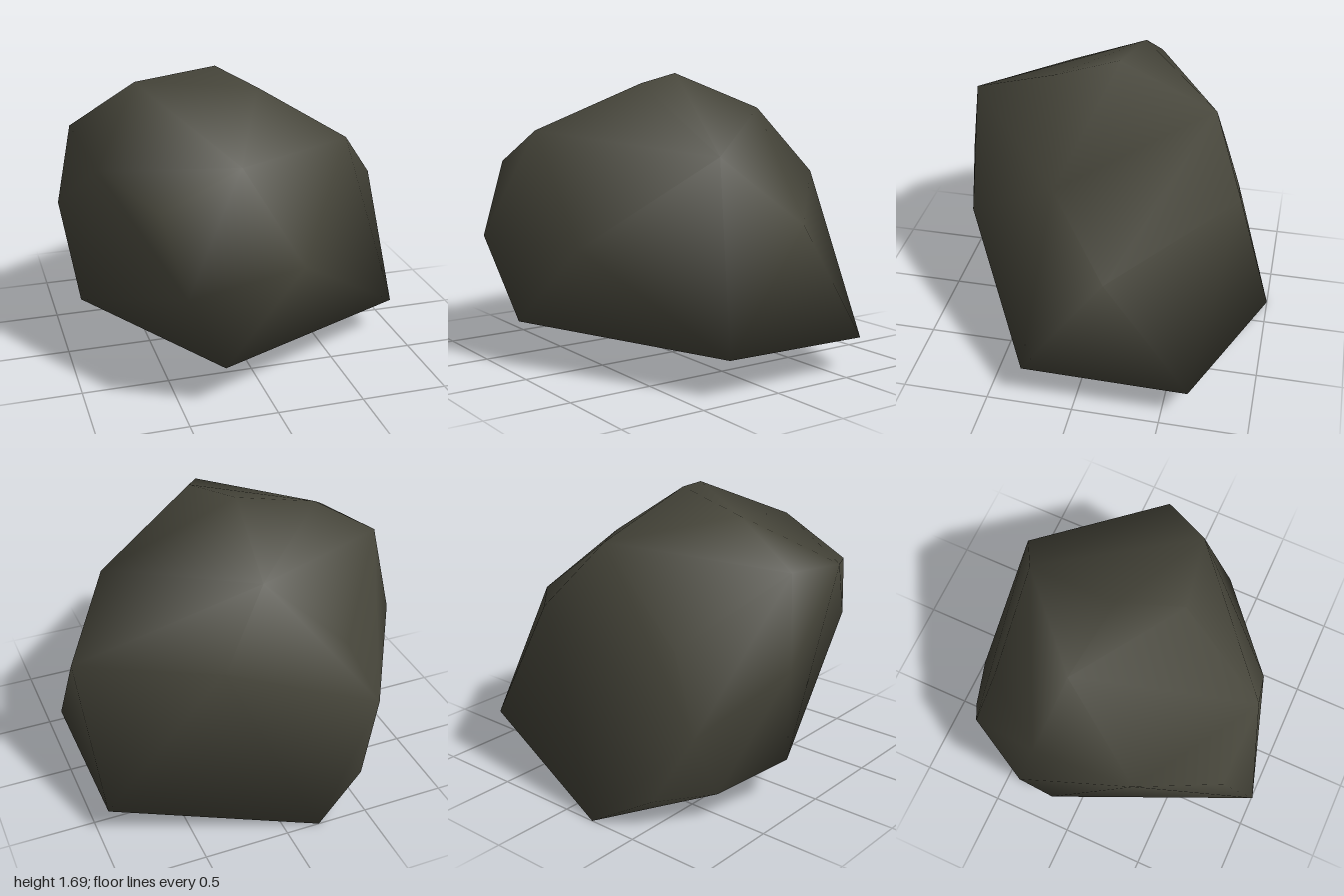
import * as THREE from 'three';
import { ConvexGeometry } from 'three/addons/geometries/ConvexGeometry.js';
import { mergeVertices } from 'three/addons/utils/BufferGeometryUtils.js';

// Corners of the boulder, grouped from crown to base
const crown = [
  [-0.06, 1.69, -0.06], [0.09, 1.64, 0.28], [-0.52, 1.61, -0.13],
  [0.02, 1.47, -0.63], [-0.16, 1.38, 0.83], [-0.9, 1.37, -0.17],
  [-0.84, 1.28, 0.39], [0.68, 1.26, 0.16],
];
const girth = [
  [-0.6, 1.17, 0.82], [0.31, 1.09, -0.82], [-0.5, 0.97, -0.65],
  [0.98, 0.9, -0.18], [-0.98, 0.87, -0.26], [-0.5, 0.75, 1.0],
  [0.22, 0.75, 0.78], [-0.7, 0.55, -0.73], [-0.53, 0.18, -0.87],
];
// Loop around the hollow underside, starting at its left edge
const rim = [
  [-0.89, 0.27, -0.14], [-0.73, 0.17, -0.56], [-0.2, 0, -1.0],
  [0.95, 0.2, -0.65], [0.96, 0.22, 0.3], [-0.27, 0.265, 0.9],
];

const toVector = (p) => new THREE.Vector3(...p);

function createBoulderGeometry() {
  const rimPoints = rim.map(toVector);
  const hull = new ConvexGeometry([...crown, ...girth].map(toVector).concat(rimPoints));
  const position = hull.getAttribute('position');
  const onRim = (v) => rimPoints.some((p) => p.distanceTo(v) < 1e-4);

  // Sides and top: every hull face except those that span the rim
  const corners = [];
  for (let i = 0; i < position.count; i += 3) {
    const face = [0, 1, 2].map((k) => new THREE.Vector3().fromBufferAttribute(position, i + k));
    if (!face.every(onRim)) corners.push(...face);
  }

  // Underside: a fan across the rim, sunken ahead of the lowest corner
  for (let i = 1; i < rimPoints.length - 1; i++) {
    corners.push(rimPoints[0], rimPoints[i], rimPoints[i + 1]);
  }

  // Share vertices for smooth shading
  const geometry = mergeVertices(new THREE.BufferGeometry().setFromPoints(corners));
  geometry.computeVertexNormals();
  return geometry;
}

export function createModel() {
  const group = new THREE.Group();
  group.name = 'rock';

  const stone = new THREE.MeshStandardMaterial({ color: 0x46453a });
  stone.name = 'dark olive stone';

  const boulder = new THREE.Mesh(createBoulderGeometry(), stone);
  boulder.name = 'boulder';
  group.add(boulder);
  return group;
}
